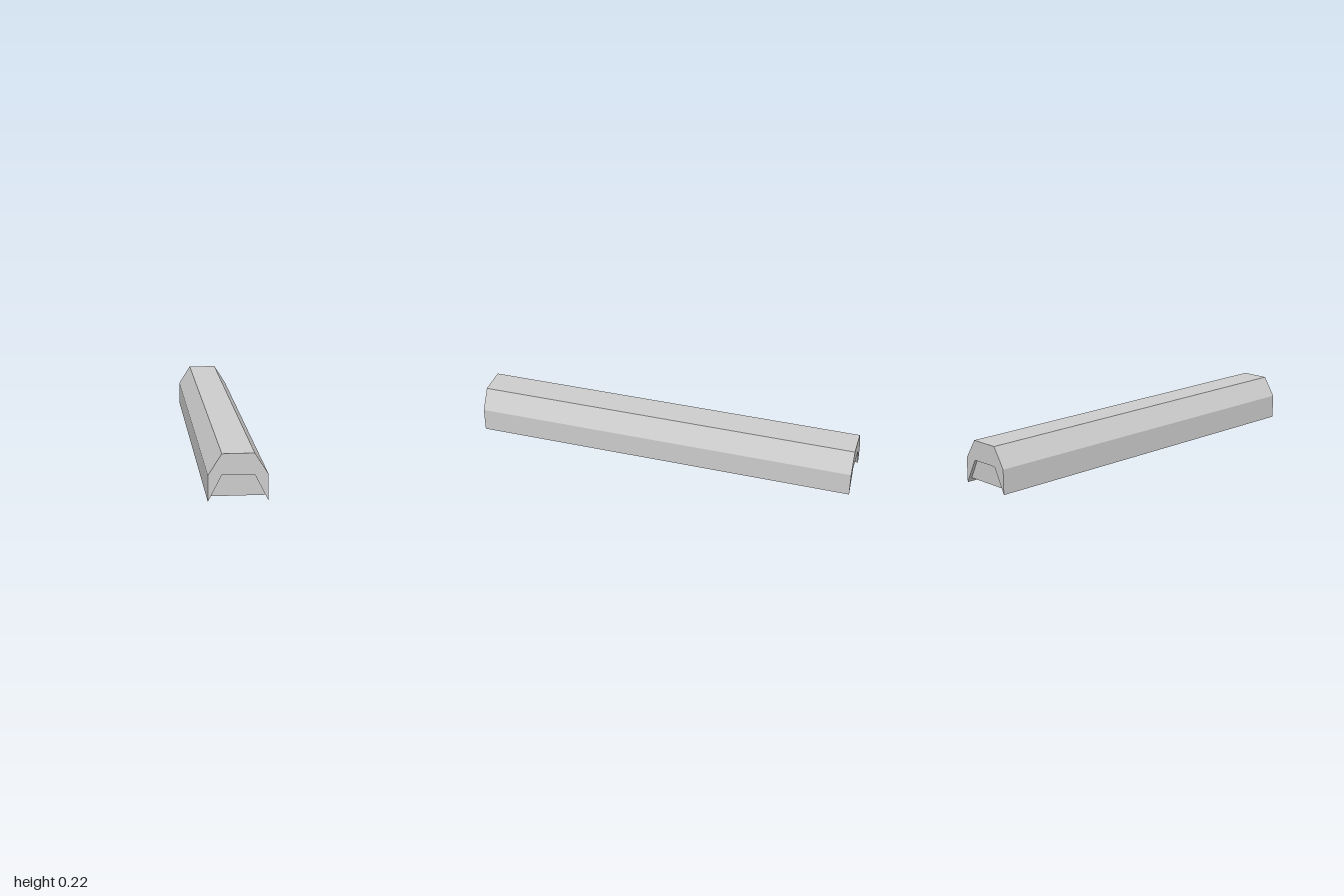
import * as THREE from 'three';

const LENGTH = 2;
const HALF_WIDTH = 0.1385;
const TOP_HALF = 0.075;
const HEIGHT = 0.225;
const SHOULDER = 0.125; // also the height of the channel ceiling
const LOUVRE_BOTTOM = 0.0215;
const LOUVRES = 50;
const LOUVRE_DEPTH = 0.008;

// Mirrors a half profile about x = 0 and extrudes it, centred along z
function extrudeSymmetric(half, depth) {
  const right = half.map(([x, y]) => new THREE.Vector2(x, y));
  const left = half.map(([x, y]) => new THREE.Vector2(-x, y)).reverse();
  const geometry = new THREE.ExtrudeGeometry(new THREE.Shape([...right, ...left]), {
    depth,
    bevelEnabled: false,
  });
  return geometry.translate(0, 0, -depth / 2);
}

export function createModel() {
  const model = new THREE.Group();
  model.name = 'louvredLightFixture';
  const material = new THREE.MeshStandardMaterial({ color: 0xcccccc, flatShading: true });

  // Housing: chamfered top, with sides tapering to sharp lower edges around the channel
  const housing = new THREE.Mesh(
    extrudeSymmetric(
      [[TOP_HALF, SHOULDER], [HALF_WIDTH, 0], [HALF_WIDTH, SHOULDER], [TOP_HALF, HEIGHT]],
      LENGTH
    ),
    material
  );
  housing.name = 'housing';
  model.add(housing);

  // Louvres: thin trapezoid blades filling the channel across its width
  const bottomHalf = HALF_WIDTH - (HALF_WIDTH - TOP_HALF) * (LOUVRE_BOTTOM / SHOULDER);
  const blade = extrudeSymmetric([[bottomHalf, LOUVRE_BOTTOM], [TOP_HALF, SHOULDER]], LOUVRE_DEPTH);
  const louvres = new THREE.Group();
  louvres.name = 'louvres';
  const spacing = LENGTH / LOUVRES;
  for (let i = 0; i < LOUVRES; i++) {
    const louvre = new THREE.Mesh(blade, material);
    louvre.name = `louvre${i + 1}`;
    louvre.position.z = -LENGTH / 2 + spacing * (i + 0.5);
    louvres.add(louvre);
  }
  model.add(louvres);

  return model;
}
